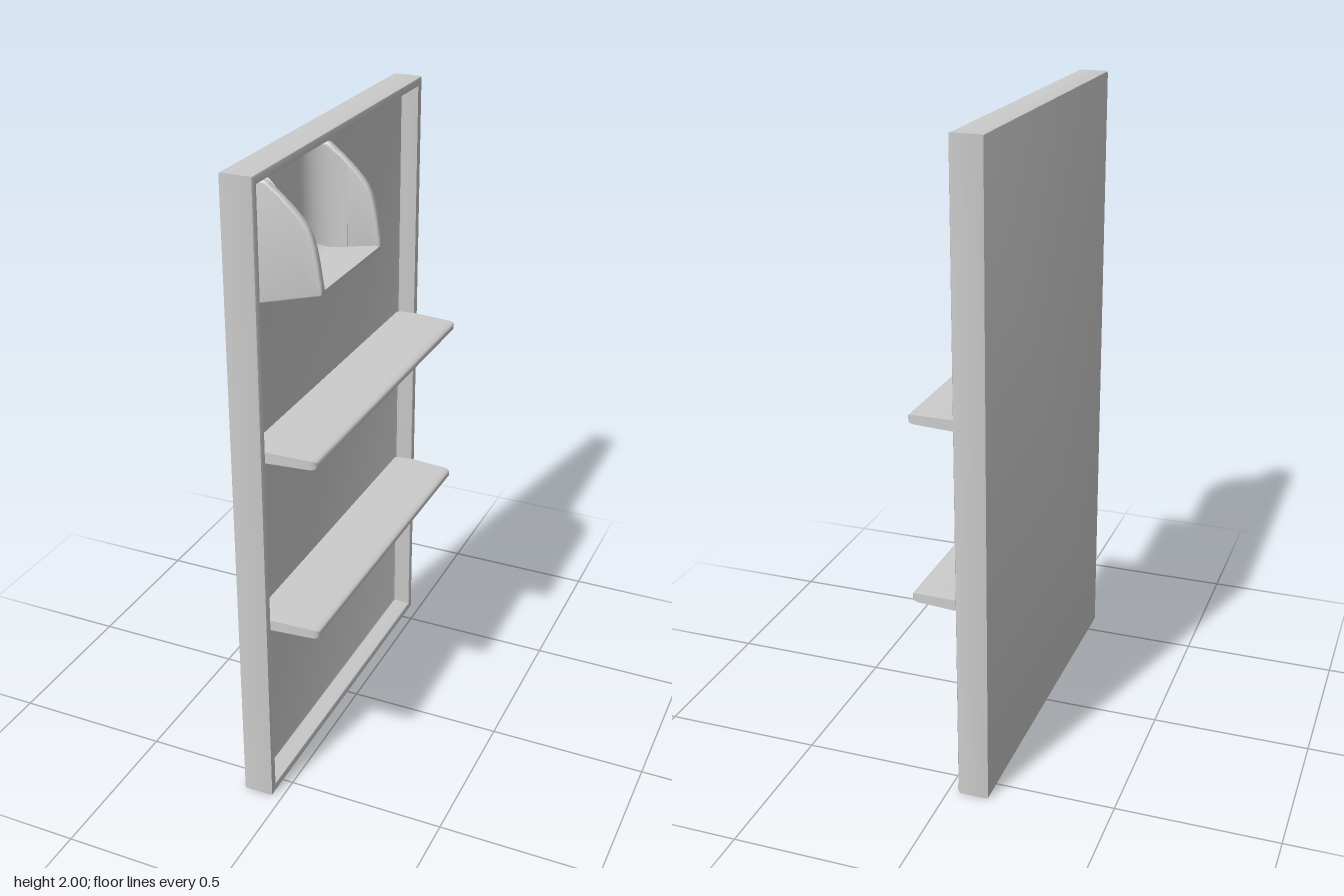
import * as THREE from 'three';
import { toCreasedNormals } from 'three/addons/utils/BufferGeometryUtils.js';

const material = new THREE.MeshStandardMaterial({ color: 0xcccccc, side: THREE.DoubleSide });

function part(name, geometry, crease = 0.7) {
  const mesh = new THREE.Mesh(toCreasedNormals(geometry, crease), material);
  mesh.name = name;
  return mesh;
}

// Joins rectangles [x, halfZ, bottom, top] into a closed solid running along x
function loftRectangles(sections) {
  const points = [];
  const index = [];
  for (const [x, h, lo, hi] of sections) {
    points.push(x, lo, h, x, lo, -h, x, hi, -h, x, hi, h);
  }
  for (let i = 0; i < sections.length - 1; i++) {
    for (let j = 0; j < 4; j++) {
      const a = i * 4 + j;
      const b = i * 4 + (j + 1) % 4;
      index.push(a, b, b + 4, a, b + 4, a + 4);
    }
  }
  const n = (sections.length - 1) * 4;
  index.push(0, 2, 1, 0, 3, 2, n, n + 1, n + 2, n, n + 2, n + 3);
  const geometry = new THREE.BufferGeometry();
  geometry.setAttribute('position', new THREE.Float32BufferAttribute(points, 3));
  geometry.setIndex(index);
  return geometry;
}

// Door slab: rounded rim around a shallow recess on the +x side
function createDoor() {
  const rings = [
    [-0.13, 0.008], [-0.127, 0.002], [-0.122, 0],
    [-0.038, 0], [-0.033, 0.002], [-0.03, 0.008],
    [-0.03, 0.02], [-0.033, 0.026], [-0.04, 0.029],
    [-0.078, 0.032], [-0.086, 0.035], [-0.09, 0.044],
  ];
  return part('doorPanel', loftRectangles(
    rings.map(([x, inset]) => [x, 0.58 - inset, inset, 2 - inset])));
}

// Thin shelf, slightly tapered towards its rounded front edge
function createShelf(name, y) {
  const sections = [
    [-0.092, 0.553, 0.017], [-0.03, 0.553, 0.017], [0.1, 0.545, 0.014],
    [0.112, 0.542, 0.012], [0.118, 0.536, 0.008], [0.12, 0.53, 0.004],
  ];
  return part(name, loftRectangles(
    sections.map(([x, h, t]) => [x, h, y - t, y + t])));
}

// Open scoop-shaped holder in the upper corner
function createHolder() {
  const holder = new THREE.Group();
  holder.name = 'holder';

  // Side walls with a bowed front edge
  const side = new THREE.Shape();
  side.moveTo(-0.092, 1.62);
  side.lineTo(0.118, 1.674);
  side.quadraticCurveTo(0.13, 1.677, 0.13, 1.69);
  side.bezierCurveTo(0.117, 1.76, 0.115, 1.83, 0.08, 1.872);
  side.bezierCurveTo(0.055, 1.903, 0.01, 1.942, -0.03, 1.97);
  side.lineTo(-0.092, 1.972);
  side.closePath();
  const wall = new THREE.ExtrudeGeometry(side, {
    depth: 0.012, bevelSize: 0.006, bevelThickness: 0.006, bevelOffset: -0.006,
    bevelSegments: 3, curveSegments: 10,
  });
  for (const [name, z] of [['holderRightWall', 0.111], ['holderLeftWall', 0.497]]) {
    const mesh = part(name, wall);
    mesh.position.z = z;
    holder.add(mesh);
  }

  // Sloping floor that curves up into the back wall
  const scoop = new THREE.Shape();
  scoop.moveTo(-0.092, 1.62);
  scoop.lineTo(0.12, 1.675);
  scoop.quadraticCurveTo(0.13, 1.68, 0.128, 1.69);
  scoop.lineTo(0.115, 1.691);
  scoop.lineTo(0.01, 1.672);
  scoop.bezierCurveTo(-0.05, 1.665, -0.078, 1.69, -0.08, 1.75);
  scoop.lineTo(-0.08, 1.97);
  scoop.lineTo(-0.092, 1.97);
  scoop.closePath();
  const floor = new THREE.ExtrudeGeometry(scoop, { depth: 0.39, bevelEnabled: false, curveSegments: 10 });
  floor.translate(0, 0, 0.118);
  holder.add(part('holderFloorAndBack', floor));

  // Rounded inner corners, their tops cut to follow the side walls
  for (const [name, z, dir] of [['holderRightCorner', 0.125, 1], ['holderLeftCorner', 0.499, -1]]) {
    const corner = new THREE.Shape();
    corner.moveTo(-0.088, -z);
    corner.lineTo(0.03, -z);
    corner.lineTo(0.03, -z - dir * 0.006);
    corner.quadraticCurveTo(-0.07, -z - dir * 0.012, -0.08, -z - dir * 0.085);
    corner.lineTo(-0.088, -z - dir * 0.085);
    corner.closePath();
    const fillet = new THREE.ExtrudeGeometry(corner, { depth: 0.31, bevelEnabled: false, curveSegments: 10 });
    fillet.rotateX(-Math.PI / 2);
    fillet.translate(0, 1.66, 0);
    const p = fillet.attributes.position;
    for (let i = 0; i < p.count; i++) {
      if (p.getY(i) > 1.9) p.setY(i, Math.min(1.968, 1.966 - (p.getX(i) + 0.03) * 0.85));
    }
    holder.add(part(name, fillet));
  }
  return holder;
}

export function createModel() {
  const model = new THREE.Group();
  model.name = 'applianceDoor';
  model.add(
    createDoor(),
    createShelf('upperShelf', 1.187),
    createShelf('lowerShelf', 0.626),
    createHolder(),
  );
  return model;
}
